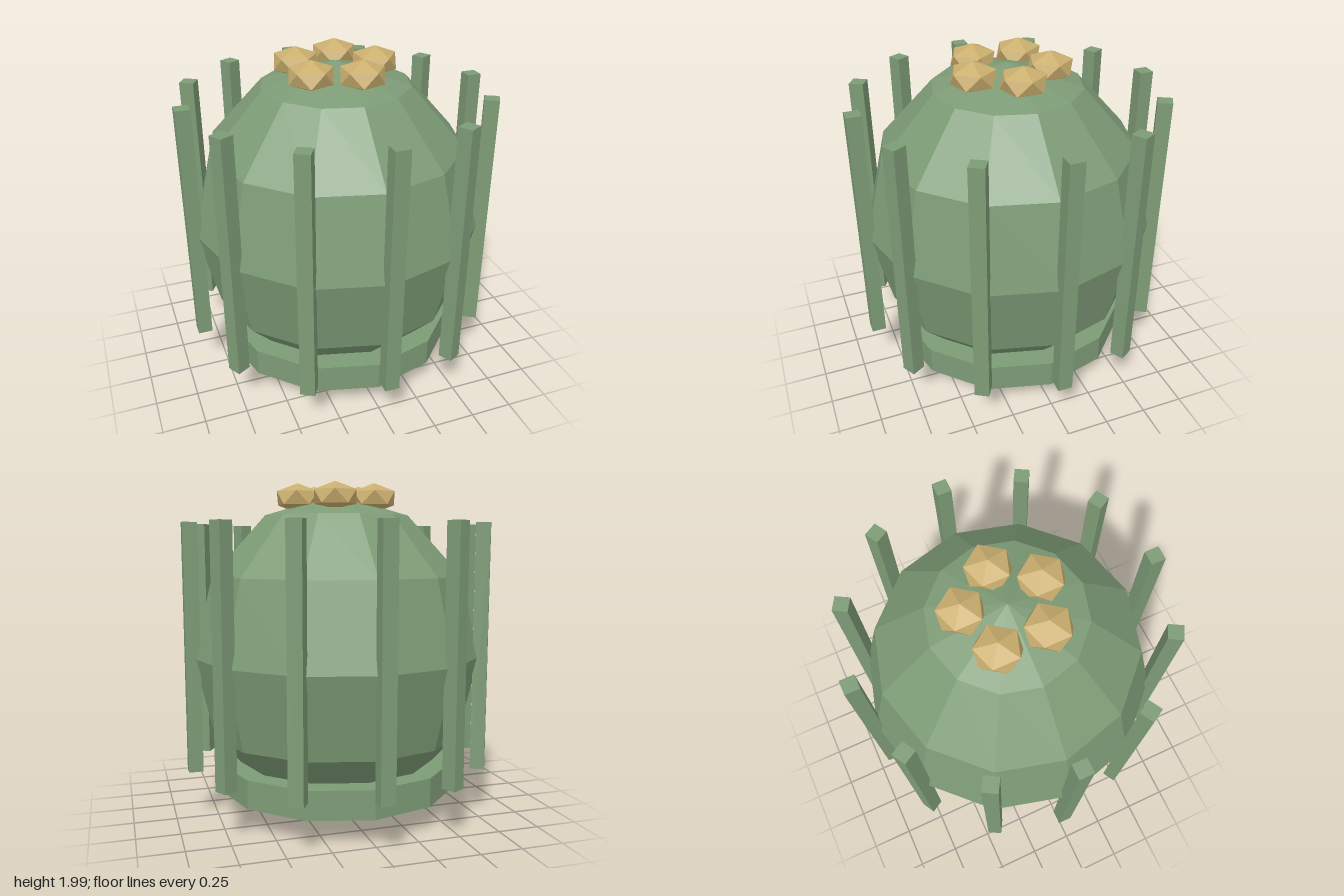
import * as THREE from 'three';

export function createModel() {
  const model = new THREE.Group();
  const green = new THREE.MeshStandardMaterial({ color: 0x7d9b76, flatShading: true });
  green.name = 'sage green';
  const gold = new THREE.MeshStandardMaterial({ color: 0xcaae6e, flatShading: true });
  gold.name = 'pale gold';

  const add = (name, geometry, material, x, y, z) => {
    const mesh = new THREE.Mesh(geometry, material);
    mesh.name = name;
    mesh.position.set(x, y, z);
    model.add(mesh);
    return mesh;
  };

  // Barrel-shaped faceted body
  add('body', new THREE.SphereGeometry(0.875, 12, 6).scale(1, 0.967 / 0.875, 1), green, 0, 0.973, 0);

  // Twelve-sided base collar
  add('baseCollar', new THREE.CylinderGeometry(0.733, 0.733, 0.17, 12), green, 0, 0.239, 0);

  // Upright ribs around the body
  const ribGeometry = new THREE.BoxGeometry(0.085, 1.47, 0.085);
  for (let i = 0; i < 12; i++) {
    const a = (i / 12) * Math.PI * 2;
    const rib = add('rib', ribGeometry, green, Math.cos(a) * 0.882, 1.032, Math.sin(a) * 0.882);
    rib.rotation.y = -a;
  }

  // Flattened flower buds on the crown, each with a point upward
  const budGeometry = new THREE.IcosahedronGeometry(1, 0)
    .rotateZ(-Math.atan(2 / (1 + Math.sqrt(5))))
    .scale(0.143, 0.088, 0.143);
  for (let i = 0; i < 5; i++) {
    const a = (i / 5) * Math.PI * 2;
    add('flowerBud', budGeometry, gold, Math.cos(a) * 0.238, 1.912, Math.sin(a) * 0.238);
  }

  return model;
}
